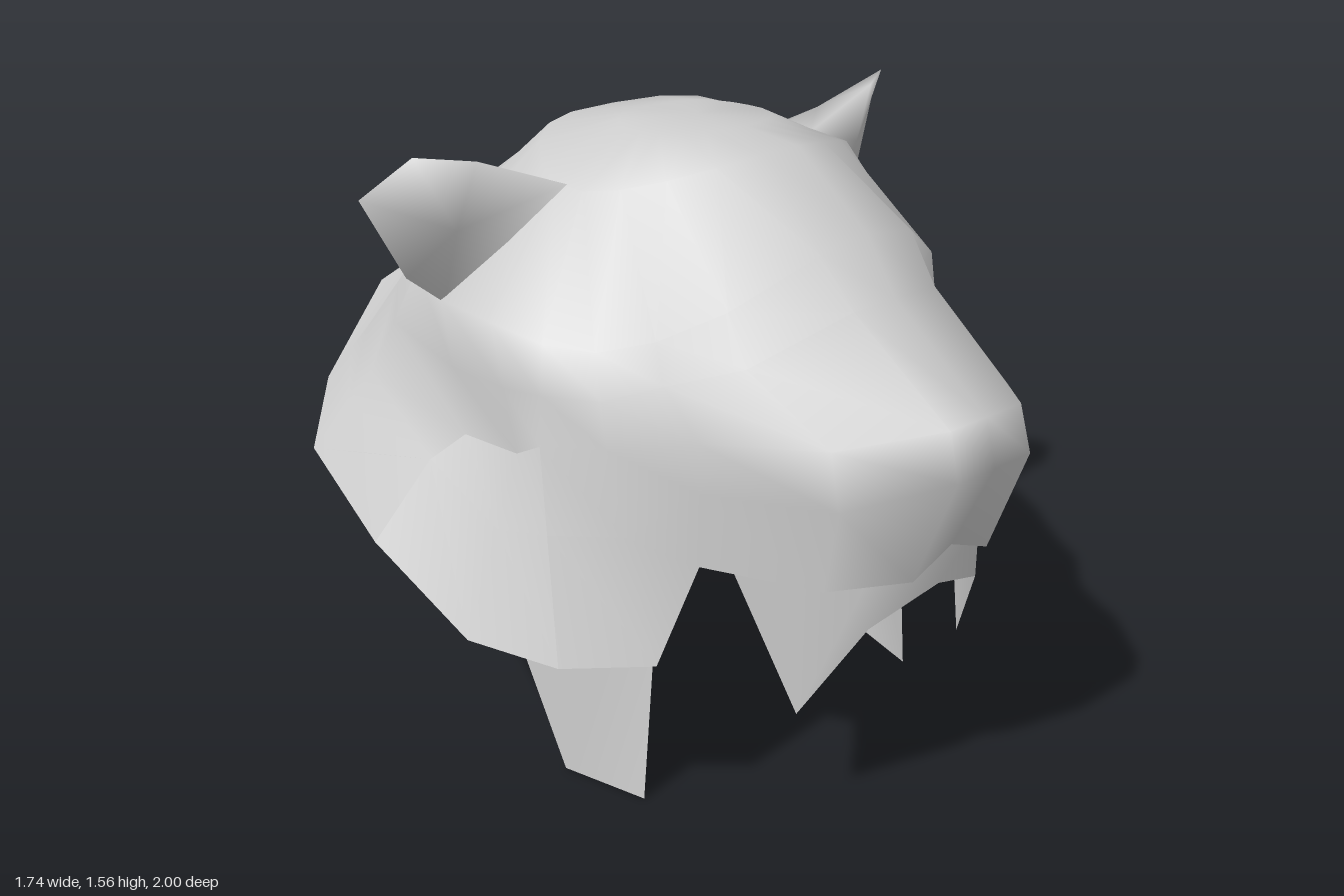
import * as THREE from 'three';

const material = new THREE.MeshStandardMaterial({ color: 0xcccccc, side: THREE.DoubleSide });

// Smooth surface from points and faces (faces with over three corners are fanned)
function surface(name, points, faces) {
  const geometry = new THREE.BufferGeometry();
  const index = [];
  for (const f of faces) for (let i = 1; i < f.length - 1; i++) index.push(f[0], f[i], f[i + 1]);
  geometry.setAttribute('position', new THREE.Float32BufferAttribute(points.flat(), 3));
  geometry.setIndex(index);
  geometry.computeVertexNormals();
  const mesh = new THREE.Mesh(geometry.toNonIndexed(), material);
  mesh.name = name;
  return mesh;
}

const mirrorX = (points) => points.map(([x, y, z]) => [-x, y, z]);
const mix = (a, b, t) => a.map((v, i) => v + (b[i] - v) * t);
// Completes a half ring that runs from front centre to back centre
const closeRing = (half) => [...half, ...mirrorX(half.slice(1, -1).reverse())];

// Half rings of the hood, from the nose round the left side to the nape
const BROW = [
  [0, 1.38, 0.61], [0.15, 1.36, 0.61], [0.34, 1.25, 0.52], [0.45, 1.18, 0.41],
  [0.54, 1.15, 0.31], [0.61, 1.16, 0.21], [0.655, 1.19, 0.08], [0.66, 1.2, -0.1],
  [0.57, 1.2, -0.33], [0.45, 1.24, -0.45], [0.25, 1.3, -0.56], [0, 1.31, -0.59],
];
const CHEEK = [
  [0, 1.05, 0.97], [0.12, 1.05, 0.97], [0.3, 1.0, 0.8], [0.43, 0.97, 0.53],
  [0.57, 0.95, 0.38], [0.64, 0.93, 0.23], [0.66, 0.9, 0.17], [0.66, 0.885, -0.03],
  [0.66, 0.93, -0.43], [0.56, 0.98, -0.6], [0.28, 1.1, -0.72], [0, 1.13, -0.73],
];
const RIM = [
  [0, 0.72, 0.9], [0.13, 0.67, 0.9], [0.31, 0.67, 0.8], [0.43, 0.67, 0.53],
  [0.56, 0.465, 0.53], [0.73, 0.465, 0.39], [0.82, 0.48, 0.17], [0.87, 0.64, -0.12],
  [0.8, 0.74, -0.5], [0.64, 0.84, -0.68], [0.31, 0.98, -0.92], [0, 1.05, -1],
];
const JOWL_BACK = [0.735, 0.83, -0.07];

// Head shell: crown, forehead, snout, flared jowls and neck lip
function shell() {
  const last = RIM.length - 1;
  // rounded rings of the skull cap, flatter and wider at the back
  const dome = (t, yMid, yEnd) => RIM.map((_, j) => {
    const a = (j / last) * Math.PI;
    const s = Math.sin(a), c = Math.cos(a);
    const [reach, widthPower, dropPower] = c > 0 ? [0.34, 1.1, 2] : [0.31, 0.8, 4];
    return [0.4 * t * s ** widthPower, yEnd + (yMid - yEnd) * s ** dropPower, 0.05 + c * t * reach];
  });
  // the bridge and eyes dip in behind the brow, the muzzle swells below
  const bridge = BROW.map((p, j) => {
    const q = mix(p, CHEEK[j], 0.5);
    q[2] -= [0.09, 0.09, 0.1, 0.05][j] ?? 0;
    if (j < 2) q[1] = 1.25;
    return q;
  });
  const muzzle = CHEEK.map((p, j) => {
    const q = mix(p, RIM[j], 0.4);
    q[2] += [0.06, 0.06, 0.03][j] ?? 0;
    if (j < 2) q[1] = 0.94;
    return j === 7 ? JOWL_BACK : q;
  });

  const rings = [dome(0.5, 1.55, 1.558), dome(1, 1.445, 1.54), BROW, bridge, CHEEK, muzzle, RIM];
  const points = [[0, 1.56, 0.05], ...rings.flatMap(closeRing)];
  const n = last * 2;
  const at = (r, j) => 1 + r * n + (j % n);
  const hood = [], leftJowl = [], rightJowl = [], neckLip = [];
  for (let j = 0; j < n; j++) {
    hood.push([0, at(0, j), at(0, j + 1)]);
    const column = j < last ? j : n - 1 - j;
    for (let r = 0; r < rings.length - 1; r++) {
      let part = hood;
      if (r >= 4 && (column === 5 || column === 6)) part = j < last ? leftJowl : rightJowl;
      if (r >= 4 && column === 10) part = neckLip;
      part.push([at(r, j), at(r + 1, j), at(r + 1, j + 1), at(r, j + 1)]);
    }
  }
  return [
    surface('hood', points, hood),
    surface('leftJowl', points, leftJowl),
    surface('rightJowl', points, rightJowl),
    surface('neckLip', points, neckLip),
  ];
}

// Underside that closes the head between the lip, the jowls and the nape
function underside() {
  const edge = closeRing([
    ...RIM.slice(0, 4), CHEEK[6], CHEEK[7], JOWL_BACK, RIM[8], RIM[9], CHEEK[10], CHEEK[11],
  ]);
  const faces = edge.map((_, j) => [edge.length, (j + 1) % edge.length, j]);
  return surface('underside', [...edge, [0, 0.91, -0.1]], faces);
}

// Rounded ear, one closed skin sunk into the head
function ear(side) {
  const points = [
    [0.4, 1.455, 0.05], [0.64, 1.545, 0.04], [0.76, 1.56, -0.03],
    [0.84, 1.46, -0.13], [0.75, 1.27, -0.1], [0.65, 1.19, -0.1],
    [0.66, 1.38, -0.02], [0.66, 1.45, -0.17], [0.44, 1.34, -0.34], [0.36, 1.4, -0.15],
  ];
  const faces = [[6, 0, 5], [7, 8, 9, 0], [7, 5, 8]];
  for (let i = 0; i < 5; i++) faces.push([6, i + 1, i], [7, i, i + 1]);
  return side > 0
    ? surface('leftEar', points, faces)
    : surface('rightEar', mirrorX(points), faces.map((f) => f.reverse()));
}

// Thin strap hanging inside each jowl
function strap(side) {
  const points = [
    [0.48, 0, 0.39], [0.54, 0, 0.16], [0.635, 0.58, 0], [0.59, 0.85, 0], [0.42, 0.65, 0.385],
  ];
  const face = [0, 1, 2, 3, 4];
  return side > 0
    ? surface('leftStrap', points, [face])
    : surface('rightStrap', mirrorX(points), [face.reverse()]);
}

// Upper teeth: one thin strip behind the lip with two fangs
function teeth() {
  const half = [[0, 0.61, 0.87], [0.19, 0.545, 0.83], [0.29, 0.31, 0.71], [0.38, 0.66, 0.59]];
  const row = [...mirrorX(half.slice(1).reverse()), ...half];
  const top = row.map(([x, , z]) => [x, x === 0 ? 0.73 : 0.68, z]);
  const n = row.length;
  const faces = [];
  for (let i = 0; i < n - 1; i++) faces.push([i, i + 1, n + i + 1, n + i]);
  return surface('teeth', [...row, ...top], faces);
}

export function createModel() {
  const model = new THREE.Group();
  model.name = 'animalHood';
  model.add(...shell(), underside(), teeth());
  for (const side of [1, -1]) model.add(ear(side), strap(side));
  return model;
}
